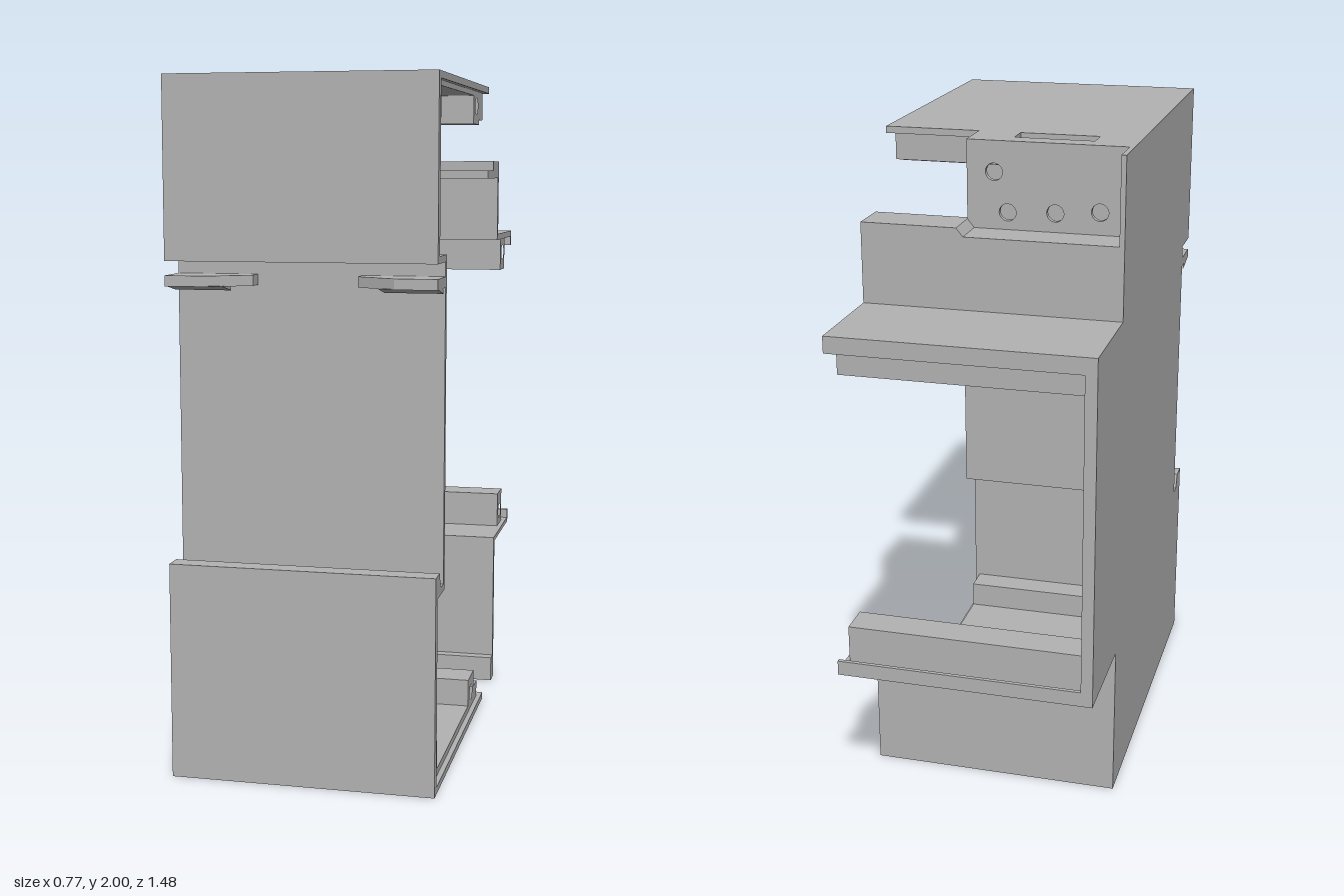
import * as THREE from 'three';

const W = 0.385;           // half width
const IN = -0.37;          // inner face of the side wall
const BAR = 0.37;          // end of the screw bars

export function createModel() {
  const model = new THREE.Group();
  const grey = new THREE.MeshStandardMaterial({ color: 0xb2b2b2 });
  grey.name = 'housing grey';

  const add = (name, geo) => {
    const mesh = new THREE.Mesh(geo, grey);
    mesh.name = name;
    model.add(mesh);
  };
  const shapeOf = (pts, holes = []) => {
    const s = new THREE.Shape(pts.map(([a, b]) => new THREE.Vector2(a, b)));
    s.holes.push(...holes);
    return s;
  };
  const circle = (a, b, r) => new THREE.Path().absarc(a, b, r, 0, Math.PI * 2, true);
  const extrude = (shape, depth) =>
    new THREE.ExtrudeGeometry(shape, { depth, bevelEnabled: false, curveSegments: 24 });

  // profile of [z, y] points swept along x
  const sweepX = (name, pts, x0, x1, holes = []) => {
    const s = shapeOf(pts.map(([z, y]) => [-z, y]), holes.map(([z, y, r]) => circle(-z, y, r)));
    add(name, extrude(s, x1 - x0).rotateY(Math.PI / 2).translate(x0, 0, 0));
  };
  // plan of [x, z] points swept along y
  const sweepY = (name, pts, y0, y1, holes = []) => {
    const s = shapeOf(pts.map(([x, z]) => [x, -z]),
      holes.map(h => new THREE.Path(h.map(([x, z]) => new THREE.Vector2(x, -z)))));
    add(name, extrude(s, y1 - y0).rotateX(-Math.PI / 2).translate(0, y0, 0));
  };
  const rect = (a0, a1, b0, b1) => [[a0, b0], [a1, b0], [a1, b1], [a0, b1]];

  // closed side wall
  sweepX('sideWall', [
    [0.74, 2], [-0.41, 2], [-0.41, 1.53], [-0.74, 1.53], [-0.74, 0.48], [-0.41, 0.48],
    [-0.41, 0], [0.74, 0], [0.74, 0.63], [0.68, 0.63], [0.66, 0.585], [0.62, 0.585],
    [0.62, 1.49], [0.74, 1.49],
  ], -W, IN);

  // front walls, rail recess, lower hook and floor
  sweepX('frontShell', [
    [0.74, 1.98], [0.74, 1.49], [0.62, 1.49], [0.62, 0.585], [0.66, 0.585], [0.68, 0.63],
    [0.74, 0.63], [0.74, 0], [-0.16, 0], [-0.16, 0.02], [0.71, 0.02], [0.71, 0.565],
    [0.6, 0.565], [0.6, 1.51], [0.71, 1.51], [0.71, 1.98],
  ], IN, W);

  // top plate with a narrower tab and a slot
  sweepY('topPlate', [
    [IN, 0.74], [W, 0.74], [W, -0.165], [0.1, -0.165], [0.1, -0.295], [IN, -0.295],
  ], 1.98, 2, [rect(-0.26, -0.025, -0.235, -0.165)]);

  // upright plate with wire holes under the tab
  const wireHoles = [[0.02, 1.91], [-0.02, 1.795], [-0.16, 1.8], [-0.29, 1.81]]
    .map(([x, y]) => circle(x, y, 0.025));
  add('wirePlate', extrude(shapeOf(rect(IN, 0.1, 1.72, 1.98), wireHoles), 0.017)
    .translate(0, 0, -0.295));

  // upper back step: shelf, lip and terminal ledge
  const shelf = [
    [-0.41, 1.53], [-0.74, 1.53], [-0.74, 1.48], [-0.728, 1.48], [-0.728, 1.51],
    [-0.39, 1.51], [-0.39, 1.715],
  ];
  sweepX('upperBackStep', [
    [-0.165, 1.74], [-0.28, 1.74], [-0.28, 1.77], [-0.41, 1.77], ...shelf, [-0.165, 1.715],
  ], 0.1, W);
  sweepX('upperBackStepLow', [[-0.28, 1.745], [-0.41, 1.745], ...shelf, [-0.28, 1.715]], IN, 0.1);
  add('ledgeSlope', extrude(shapeOf([[0.08, 1.745], [0.1, 1.745], [0.1, 1.77]]), 0.115)
    .translate(0, 0, -0.41));

  // lower back step: shelf, lip, panel and foot
  sweepX('lowerBackStep', [
    [-0.41, 0], [-0.355, 0], [-0.355, 0.08], [-0.39, 0.08], [-0.39, 0.495], [-0.728, 0.495],
    [-0.728, 0.525], [-0.74, 0.525], [-0.74, 0.48], [-0.41, 0.48],
  ], IN, W);
  sweepX('backRim', rect(-0.74, -0.72, 0.48, 1.53), IN, -0.35);

  // screw bars: z range, y range, hole centre
  const bars = [
    [0.62, 0.735, 1.88, 1.99, 0.675, 1.935], [0.62, 0.735, 0.01, 0.125, 0.675, 0.07],
    [-0.06, 0.05, 1.88, 1.99, -0.005, 1.935], [-0.06, 0.05, 0.01, 0.125, -0.005, 0.07],
    [-0.68, -0.58, 1.4, 1.52, -0.63, 1.46], [-0.68, -0.58, 0.49, 0.61, -0.63, 0.54],
  ];
  for (const [z0, z1, y0, y1, hz, hy] of bars)
    sweepX('screwBar', rect(z0, z1, y0, y1), IN, BAR, [[hz, hy, 0.025]]);

  // shoulders beside the middle bars and liners between the bars
  for (const [y0, y1] of [[1.895, 1.99], [0.01, 0.07]])
    sweepX('barShoulder', rect(-0.125, -0.06, y0, y1), IN, BAR);
  for (const [y0, y1] of [[1.965, 1.985], [0.015, 0.04]])
    sweepX('liner', rect(0.05, 0.62, y0, y1), IN, BAR);

  // guide ribs and round sockets on the side wall
  for (const [y0, y1] of [[1.63, 1.9], [0.065, 0.5]])
    sweepX('guideRib', rect(-0.125, -0.1, y0, y1), IN, -0.31);
  for (const [z, y] of [[0.02, 1.82], [0.63, 0.185]]) {
    const ring = new THREE.Shape().absarc(-z, y, 0.058, 0, Math.PI * 2, false);
    ring.holes.push(circle(-z, y, 0.025));
    add('socket', extrude(ring, 0.07).rotateY(Math.PI / 2).translate(IN, 0, 0));
  }

  // pair of rail clips with hooked undersides
  for (const s of [-1, 1]) {
    sweepY('railClip', [
      [s * W, 0.615], [s * W, 0.74], [s * 0.265, 0.74], [s * 0.15, 0.67], [s * 0.15, 0.615],
    ], 1.42, 1.45);
    const [a, b] = s < 0 ? [-W, -0.22] : [0.22, W];
    sweepX('clipHook', [[0.738, 1.422], [0.65, 1.405], [0.66, 1.422]], a, b);
  }
  return model;
}
